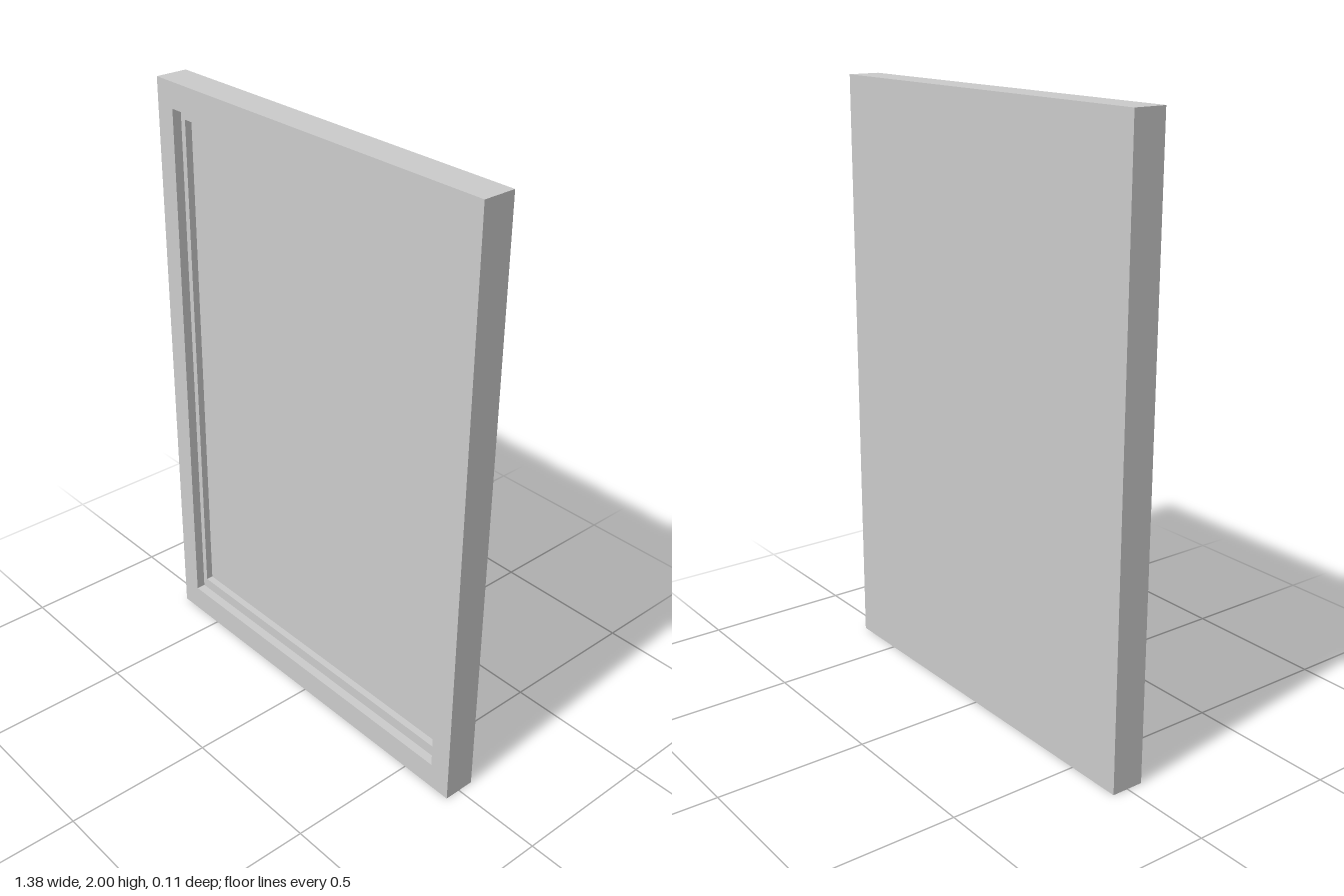
import * as THREE from 'three';

const material = new THREE.MeshStandardMaterial({ color: 0xcccccc, flatShading: true });

// Rectangular loops from the back edge, round the front, into the recess
const loops = [
  { x: 0.69, y0: 0, y1: 2, z: -0.055 },          // back edge
  { x: 0.69, y0: 0, y1: 2, z: 0.055 },           // front outer edge
  { x: 0.616, y0: 0.09, y1: 1.915, z: 0.055 },   // opening
  { x: 0.616, y0: 0.09, y1: 1.915, z: 0.024 },   // ledge, outer
  { x: 0.596, y0: 0.128, y1: 1.879, z: 0.024 },  // ledge, inner
  { x: 0.596, y0: 0.128, y1: 1.879, z: 0 },      // panel edge
];

const corners = ({ x, y0, y1, z }) => [[-x, y0, z], [x, y0, z], [x, y1, z], [-x, y1, z]];

// Skin between successive loops, one quad per side
function skin(list) {
  const positions = [];
  for (let k = 0; k < list.length - 1; k++) {
    const a = corners(list[k]);
    const b = corners(list[k + 1]);
    for (let i = 0; i < 4; i++) {
      const j = (i + 1) % 4;
      positions.push(...a[i], ...a[j], ...b[j], ...a[i], ...b[j], ...b[i]);
    }
  }
  const geometry = new THREE.BufferGeometry();
  geometry.setAttribute('position', new THREE.Float32BufferAttribute(positions, 3));
  geometry.computeVertexNormals();
  return geometry;
}

// Flat sheet filling one loop
function sheet({ x, y0, y1, z }, facingBack) {
  const geometry = new THREE.PlaneGeometry(2 * x, y1 - y0);
  if (facingBack) geometry.rotateY(Math.PI);
  return geometry.translate(0, (y0 + y1) / 2, z);
}

export function createModel() {
  const group = new THREE.Group();
  group.name = 'pictureFrame';
  const add = (name, geometry) => {
    const mesh = new THREE.Mesh(geometry, material);
    mesh.name = name;
    group.add(mesh);
  };

  add('frame', skin(loops));                       // border with stepped recess
  add('panel', sheet(loops[loops.length - 1], false)); // recessed front panel
  add('back', sheet(loops[0], true));              // flat back
  return group;
}
